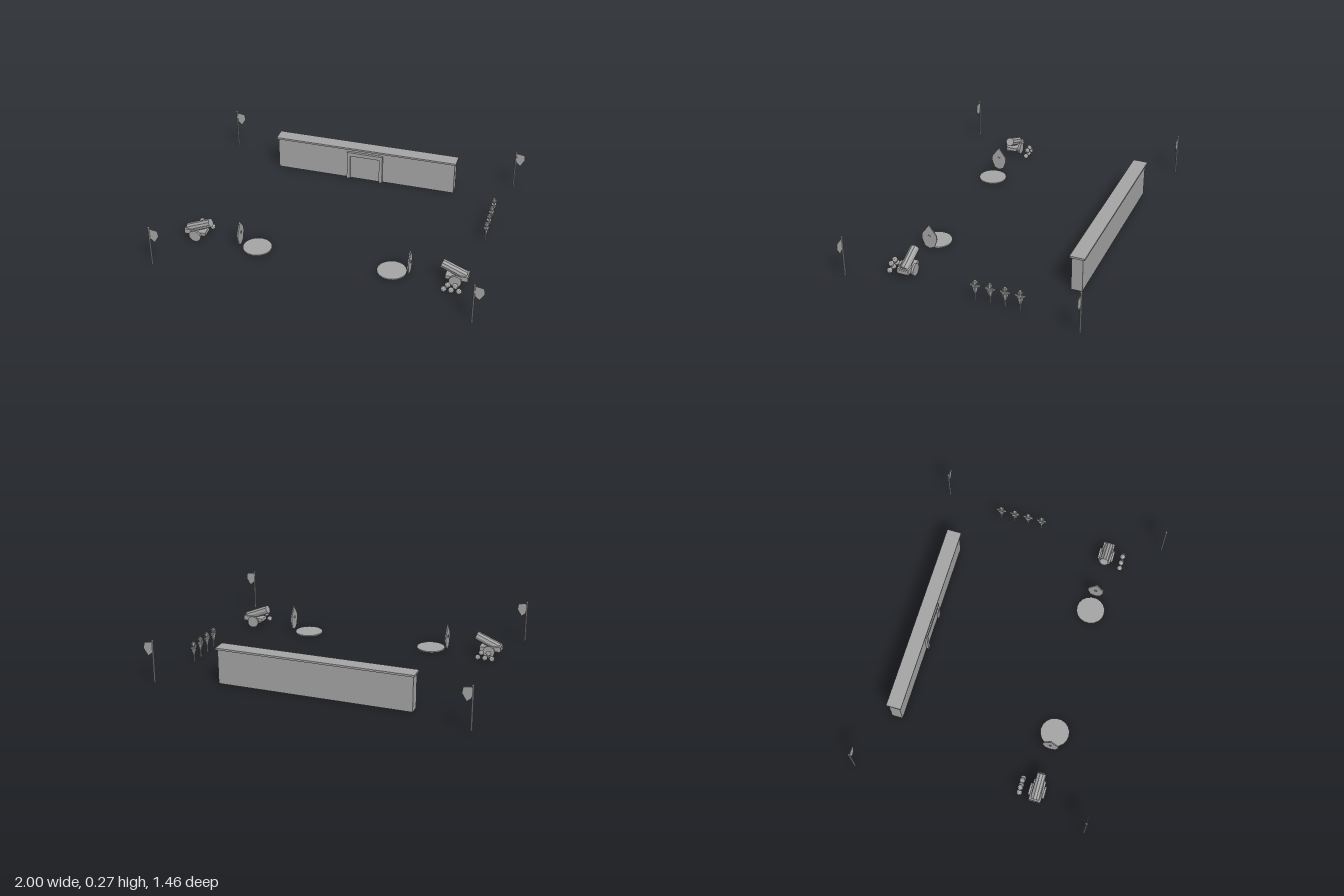
import * as THREE from 'three';

export function createModel() {
  const root = new THREE.Group();
  root.name = 'trainingYard';
  const grey = new THREE.MeshStandardMaterial({ color: 0xa6a6a6, flatShading: true, side: THREE.DoubleSide });
  grey.name = 'plain grey';

  const add = (parent, name, geo, x = 0, y = 0, z = 0) => {
    const mesh = new THREE.Mesh(geo, grey);
    mesh.name = name;
    mesh.position.set(x, y, z);
    parent.add(mesh);
    return mesh;
  };
  const group = (parent, name, x, y, z) => {
    const g = new THREE.Group();
    g.name = name;
    g.position.set(x, y, z);
    parent.add(g);
    return g;
  };
  const box = (w, h, d) => new THREE.BoxGeometry(w, h, d);
  const cyl = (rt, rb, h, n) => new THREE.CylinderGeometry(rt, rb, h, n);
  const plate = (points, depth) => new THREE.ExtrudeGeometry(
    new THREE.Shape(points.map(([x, y]) => new THREE.Vector2(x, y))), { depth, bevelEnabled: false }
  ).translate(0, 0, -depth / 2);

  // The flags all fly toward +x, so the yard itself sits slightly off centre
  const yard = group(root, 'yard', -0.028, 0, 0);

  // Wall with coping and a raised door surround
  const wall = group(yard, 'wall', 0, 0, -0.572);
  add(wall, 'wallBody', box(1.2, 0.218, 0.068), 0, 0.109, 0);
  add(wall, 'wallCoping', box(1.218, 0.012, 0.092), 0, 0.223, 0);
  for (const s of [-1, 1]) add(wall, 'doorPost', box(0.022, 0.172, 0.016), s * 0.11, 0.086, 0.042);
  add(wall, 'doorLintel', box(0.242, 0.026, 0.016), 0, 0.185, 0.042);
  add(wall, 'door', box(0.198, 0.172, 0.004), 0, 0.086, 0.035);

  // Corner flags
  const bannerGeo = plate([[0, 0.257], [0.055, 0.249], [0.06, 0.212], [0.032, 0.167], [0, 0.194]], 0.003);
  for (const sx of [-1, 1]) {
    for (const sz of [-1, 1]) {
      const flag = group(yard, 'flag', sx * 0.965, 0, sz * 0.723);
      add(flag, 'flagPole', cyl(0.006, 0.006, 0.262, 8), 0, 0.131, 0);
      add(flag, 'finial', new THREE.SphereGeometry(0.008, 8, 6), 0, 0.263, 0);
      add(flag, 'banner', bannerGeo);
    }
  }

  // Gun station: cannon, ball pile, shield and round ground plate
  const shieldGeo = plate([
    [0, 0.172], [0.048, 0.105], [0.05, 0.075], [0.032, 0.024],
    [0, 0.01], [-0.032, 0.024], [-0.05, 0.075], [-0.048, 0.105],
  ], 0.008).rotateY(Math.PI / 2);

  function addStation(name, turn) {
    const st = group(yard, name, 0, 0, 0.39);
    st.rotation.y = turn;
    const cannon = group(st, 'cannon', -0.81, 0, 0);
    const barrel = add(cannon, 'barrel', cyl(0.028, 0.029, 0.16, 10), 0.018, 0.094, 0);
    barrel.rotation.z = -Math.PI / 2 + 0.4;
    add(cannon, 'carriage', box(0.135, 0.022, 0.074), -0.005, 0.053, 0);
    add(cannon, 'trail', box(0.055, 0.016, 0.074), -0.044, 0.066, 0);
    add(cannon, 'axle', cyl(0.006, 0.006, 0.1, 8), 0, 0.041, 0).rotation.x = Math.PI / 2;
    for (const s of [-1, 1]) {
      add(cannon, 'wheel', cyl(0.038, 0.038, 0.013, 14), 0, 0.04, s * 0.0435).rotation.x = Math.PI / 2;
    }
    // Two rows of cannonballs
    const ball = new THREE.IcosahedronGeometry(0.018, 1);
    for (let i = 0; i < 3; i++) add(st, 'cannonball', ball, -0.845 + i * 0.045, 0.019, -0.105);
    for (let i = 0; i < 2; i++) add(st, 'cannonball', ball, -0.8225 + i * 0.045, 0.052, -0.105);

    add(st, 'shield', shieldGeo, -0.529, 0, 0);
    add(st, 'shieldBoss', cyl(0.009, 0.009, 0.016, 8), -0.529, 0.095, 0).rotation.z = Math.PI / 2;
    add(st, 'groundPlate', cyl(0.09, 0.09, 0.008, 18), -0.422, 0.004, 0);
  }
  addStation('rightStation', 0);
  addStation('leftStation', Math.PI);

  // Row of practice dummies
  for (let i = 0; i < 4; i++) {
    const dummy = group(yard, 'dummy', 0.897, 0, -0.075 - i * 0.0905);
    add(dummy, 'post', cyl(0.005, 0.005, 0.1, 6), 0, 0.05, 0);
    const body = add(dummy, 'body', cyl(0.024, 0.009, 0.045, 7), 0, 0.07, 0);
    body.geometry.rotateY(i * 0.7);
    body.scale.x = 0.7;
    add(dummy, 'arms', box(0.01, 0.009, 0.064), 0, 0.097, 0);
    add(dummy, 'head', new THREE.SphereGeometry(0.011, 8, 6), 0, 0.109, 0);
    add(dummy, 'hatBrim', cyl(0.017, 0.017, 0.004, 8), 0, 0.117, 0);
    add(dummy, 'hatCrown', cyl(0.009, 0.013, 0.012, 8), 0, 0.125, 0);
  }

  return root;
}
